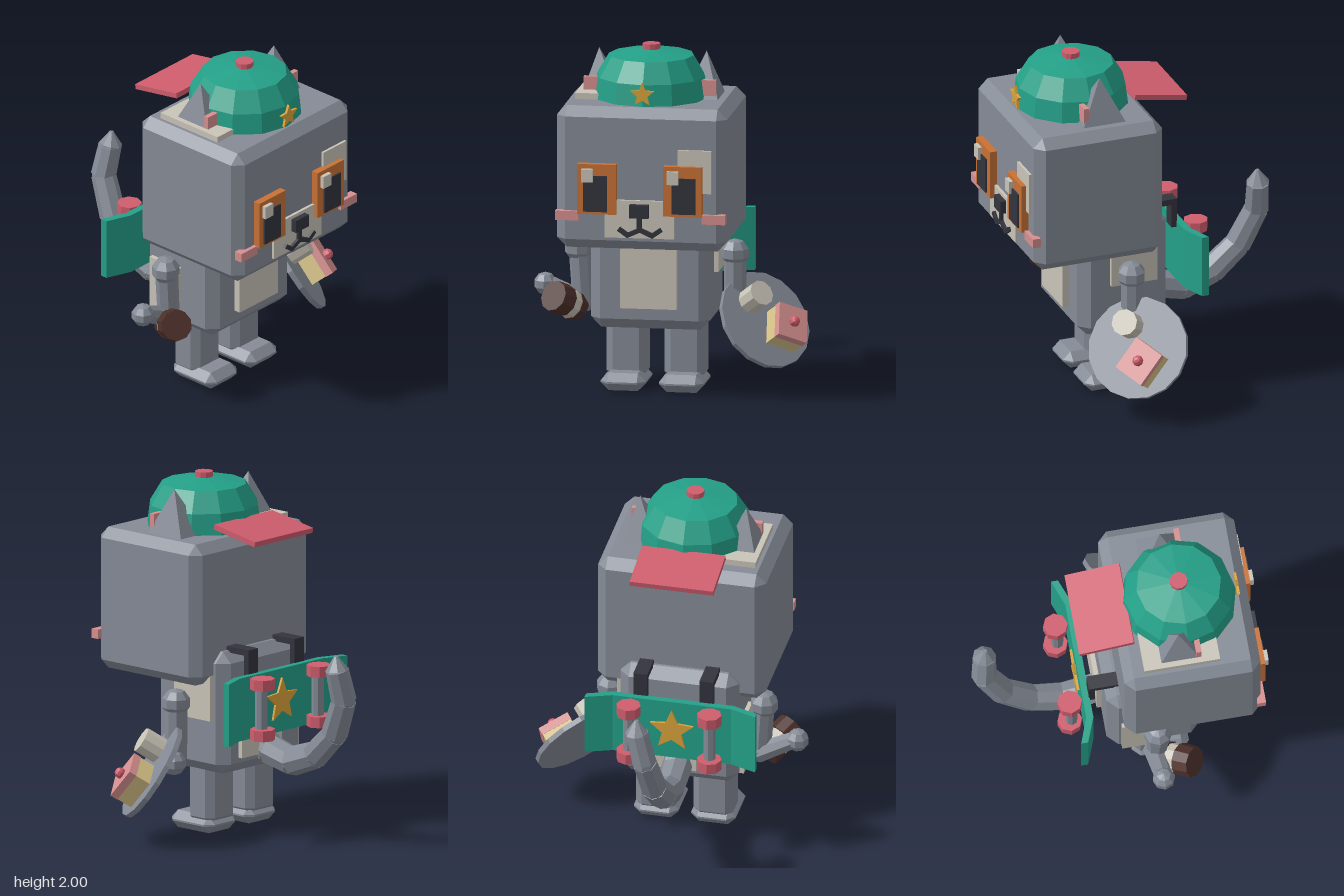
import * as THREE from 'three';
import { ConvexGeometry } from 'three/addons/geometries/ConvexGeometry.js';

const paint = (name, color) => {
  const m = new THREE.MeshStandardMaterial({ color, flatShading: true });
  m.name = name;
  return m;
};
const grey = paint('grey fur', 0x858b96), cream = paint('cream', 0xc9c4b8);
const green = paint('green', 0x24a088), crimson = paint('crimson', 0xcf5d6d);
const pink = paint('pink', 0xd68f8f), orange = paint('orange', 0xc87135);
const dark = paint('charcoal', 0x33343d), brown = paint('brown', 0x4d302a);
const tan = paint('tan', 0xd8c388), gold = paint('gold', 0xd9a33c);

const CX = -0.083; // plane of symmetry of the body
const V = (x, y, z) => new THREE.Vector3(x, y, z);

export function createModel() {
  const root = new THREE.Group();
  root.name = 'catWithSkateboard';

  const add = (name, geo, mat, pos = [0, 0, 0], parent = root) => {
    const m = new THREE.Mesh(geo, mat);
    m.name = name;
    m.position.set(...pos);
    parent.add(m);
    return m;
  };
  // box from its minimum and maximum corners
  const box = (name, mat, x0, x1, y0, y1, z0, z1) =>
    add(name, new THREE.BoxGeometry(x1 - x0, y1 - y0, z1 - z0), mat,
      [(x0 + x1) / 2, (y0 + y1) / 2, (z0 + z1) / 2]);
  // box with all edges cut at 45 degrees
  const chamferBox = (name, mat, x0, x1, y0, y1, z0, z1, c) => {
    const h = [(x1 - x0) / 2, (y1 - y0) / 2, (z1 - z0) / 2], pts = [];
    for (const sx of [-1, 1]) for (const sy of [-1, 1]) for (const sz of [-1, 1])
      for (let k = 0; k < 3; k++) {
        const p = h.map((v, i) => (i === k ? v : v - c));
        pts.push(V(sx * p[0], sy * p[1], sz * p[2]));
      }
    return add(name, new ConvexGeometry(pts), mat, [(x0 + x1) / 2, (y0 + y1) / 2, (z0 + z1) / 2]);
  };
  // cylinder between two points
  const rod = (name, mat, a, b, ra, rb, sides = 8) => {
    const m = add(name, new THREE.CylinderGeometry(rb, ra, a.distanceTo(b), sides), mat);
    m.position.copy(a).lerp(b, 0.5);
    m.quaternion.setFromUnitVectors(V(0, 1, 0), b.clone().sub(a).normalize());
    return m;
  };
  const ball = (name, mat, p, r) => add(name, new THREE.SphereGeometry(r, 8, 5), mat, p);
  const star = (name, r, pos) => {
    const s = new THREE.Shape();
    for (let i = 0; i < 10; i++) {
      const q = i % 2 ? r * 0.45 : r, a = Math.PI / 2 + i * Math.PI / 5;
      s[i ? 'lineTo' : 'moveTo'](q * Math.cos(a), q * Math.sin(a));
    }
    return add(name, new THREE.ExtrudeGeometry(s, { depth: 0.015, bevelEnabled: false }), gold, pos);
  };

  // head and torso with fur patches
  chamferBox('head', grey, -0.565, 0.4, 0.89, 1.7, -0.018, 0.755, 0.055);
  chamferBox('torso', grey, -0.425, 0.255, 0.37, 1.07, -0.095, 0.435, 0.06);
  box('bellyPatch', cream, -0.245, 0.075, 0.5, 0.95, 0.42, 0.475);
  box('leftSidePatch', cream, 0.24, 0.28, 0.68, 0.95, -0.015, 0.26);
  box('rightSidePatch', cream, -0.45, -0.41, 0.42, 0.76, -0.02, 0.2);
  box('backPatch', cream, -0.2, 0.13, 0.46, 0.75, -0.122, -0.08);
  box('crownPatch', cream, -0.49, -0.17, 1.69, 1.735, 0.1, 0.53);
  box('eyePatch', cream, 0.13, 0.32, 1.23, 1.475, 0.75, 0.77);
  box('muzzle', cream, -0.285, 0.11, 0.965, 1.18, 0.75, 0.772);

  // nose and mouth
  box('nose', dark, -0.14, -0.032, 1.085, 1.16, 0.76, 0.805);
  box('mouthStem', dark, -0.1, -0.073, 1.0, 1.09, 0.76, 0.79);
  const mouth = [[0, 1.015], [0.07, 0.983], [0.115, 1.015]];
  for (const s of [-1, 1]) for (let i = 0; i < 2; i++) {
    const [x0, y0] = mouth[i], [x1, y1] = mouth[i + 1];
    const m = add('mouthLine', new THREE.BoxGeometry(Math.hypot(x1 - x0, y1 - y0) + 0.015, 0.026, 0.03), dark,
      [CX + s * (x0 + x1) / 2, (y0 + y1) / 2, 0.775]);
    m.rotation.z = s * Math.atan2(y1 - y0, x1 - x0);
  }

  // eyes, cheeks, ears, legs and feet
  for (const s of [-1, 1]) {
    const side = s > 0 ? 'left' : 'right';
    const ex = CX + s * 0.243, px = CX + s * 0.25;
    box(side + 'Eye', orange, ex - 0.11, ex + 0.11, 1.1, 1.385, 0.75, 0.797);
    box(side + 'Pupil', dark, px - 0.067, px + 0.067, 1.115, 1.32, 0.79, 0.806);
    const hx = s > 0 ? 0.107 : -0.377;
    box(side + 'EyeShine', cream, hx - 0.032, hx + 0.032, 1.285, 1.36, 0.79, 0.82);
    const kx = CX + s * 0.415;
    box(side + 'Cheek', pink, kx - 0.067, kx + 0.067, 1.057, 1.11, 0.73, 0.778);

    const out = CX + s * 0.39, inn = CX + s * 0.18;
    add(side + 'Ear', new ConvexGeometry([V(out, 1.69, 0.18), V(out, 1.69, 0.44), V(inn, 1.69, 0.18),
      V(inn, 1.69, 0.44), V(CX + s * 0.305, 1.955, 0.31)]), grey);
    const ix = CX + s * 0.3;
    box(side + 'InnerEar', pink, ix - 0.075, ix + 0.075, 1.72, 1.81, 0.4, 0.43);

    const lx = CX + s * 0.165;
    chamferBox(side + 'Leg', grey, lx - 0.115, lx + 0.115, 0.05, 0.45, 0.06, 0.25, 0.04);
    chamferBox(side + 'Foot', grey, lx - 0.128, lx + 0.128, 0, 0.1, 0.055, 0.38, 0.045);
  }

  // cap worn backwards
  const cap = [[0.3, 1.69], [0.325, 1.7], [0.31, 1.82], [0.24, 1.937], [0, 1.978]]
    .map(p => new THREE.Vector2(...p));
  add('capDome', new THREE.LatheGeometry(cap, 12), green, [CX, 0, 0.365]);
  add('capButton', new THREE.CylinderGeometry(0.05, 0.05, 0.05, 10), crimson, [CX, 1.975, 0.365]);
  const visor = add('capVisor', new THREE.BoxGeometry(0.48, 0.03, 0.315), crimson, [CX - 0.002, 1.738, -0.085]);
  visor.rotation.x = -0.17;
  star('capStar', 0.07, [CX, 1.77, 0.688]);

  // arms
  rod('leftUpperArm', grey, V(0.36, 0.45, 0.17), V(0.36, 0.79, 0.17), 0.062, 0.065);
  rod('rightUpperArm', grey, V(-0.5, 0.47, 0.17), V(-0.52, 0.79, 0.17), 0.062, 0.065);
  rod('rightForearm', grey, V(-0.49, 0.46, 0.15), V(-0.71, 0.57, 0.17), 0.06, 0.05);
  ball('leftShoulder', grey, [0.36, 0.775, 0.17], 0.082);
  ball('rightShoulder', grey, [-0.525, 0.775, 0.17], 0.082);
  ball('leftHand', grey, [0.41, 0.44, 0.14], 0.07);
  ball('rightElbow', grey, [-0.5, 0.47, 0.16], 0.065);
  ball('rightHand', grey, [-0.715, 0.565, 0.17], 0.066);

  // cup in the right hand: brown, cream, brown
  const c0 = V(-0.53, 0.44, 0.19), c1 = V(-0.635, 0.53, 0.35);
  const at = t => c0.clone().lerp(c1, t);
  rod('cupBase', brown, at(0), at(0.3), 0.08, 0.088, 10);
  rod('cupBand', cream, at(0.3), at(0.6), 0.082, 0.082, 10);
  rod('cupRim', brown, at(0.6), at(1.05), 0.094, 0.088, 10);

  // plate with treats, tilted out towards the front left
  const n = V(0.63, 0.535, 0.56).normalize();
  const up = V(0, 1, 0).addScaledVector(n, -n.y).normalize();
  const right = up.clone().cross(n);
  const plate = new THREE.Group();
  plate.name = 'plateOfTreats';
  plate.position.set(0.53, 0.4, 0.195);
  plate.quaternion.setFromRotationMatrix(new THREE.Matrix4().makeBasis(right, n, up.clone().negate()));
  root.add(plate);
  add('plate', new THREE.CylinderGeometry(0.29, 0.29, 0.03, 16), grey, [0, 0, 0], plate);
  add('creamRoll', new THREE.CylinderGeometry(0.075, 0.075, 0.14, 10), cream, [-0.064, 0.07, -0.117], plate);
  const cake = new THREE.Group();
  cake.name = 'cake';
  cake.position.set(0.066, 0, 0.088);
  cake.rotation.y = -0.45;
  plate.add(cake);
  add('sponge', new THREE.BoxGeometry(0.18, 0.1, 0.2), tan, [0, 0.06, 0], cake);
  add('icing', new THREE.BoxGeometry(0.185, 0.045, 0.205), pink, [0, 0.128, 0], cake);
  add('cherry', new THREE.SphereGeometry(0.032, 8, 6), crimson, [0, 0.165, 0], cake);

  // skateboard carried on the back
  const deck = new THREE.Shape([[-0.49, -0.275], [-0.34, -0.22], [0.34, -0.22], [0.49, -0.275],
    [0.49, -0.235], [0.345, -0.18], [-0.345, -0.18], [-0.49, -0.235]].map(p => new THREE.Vector2(p[0], -p[1])));
  const board = add('boardDeck', new THREE.ExtrudeGeometry(deck, { depth: 0.36, bevelEnabled: false }),
    green, [CX, 0.595, 0]);
  board.rotation.x = -Math.PI / 2;
  star('boardStar', 0.13, [CX, 0.775, -0.234]);
  for (const s of [-1, 1]) {
    const x = CX + s * 0.232;
    add('boardAxle', new THREE.CylinderGeometry(0.035, 0.035, 0.3, 8), grey, [x, 0.775, -0.285]);
    for (const y of [0.63, 0.92])
      add('boardWheel', new THREE.CylinderGeometry(0.07, 0.07, 0.062, 8), crimson, [x, y, -0.295]);
    const sx = CX + s * 0.19;
    box('strapTop', dark, sx - 0.04, sx + 0.04, 1.058, 1.093, -0.185, 0.02);
    box('strapDrop', dark, sx - 0.04, sx + 0.04, 0.92, 1.06, -0.185, -0.152);
  }

  // segmented tail curling upwards
  const tail = [[-0.09, 0.53, -0.05], [-0.09, 0.475, -0.14], [-0.09, 0.435, -0.3], [-0.09, 0.5, -0.48],
    [-0.075, 0.645, -0.635], [-0.045, 0.86, -0.735], [0, 1.04, -0.725], [0.005, 1.12, -0.72]].map(p => V(...p));
  for (let i = 0; i < tail.length - 1; i++) {
    const tip = i === tail.length - 2;
    const r = 0.092 - i * 0.004;
    rod(tip ? 'tailTip' : 'tailSegment', grey, tail[i], tail[i + 1], r, tip ? 0.012 : r - 0.006);
    if (i && !tip) ball('tailJoint', grey, tail[i].toArray(), r - 0.004);
  }
  return root;
}
